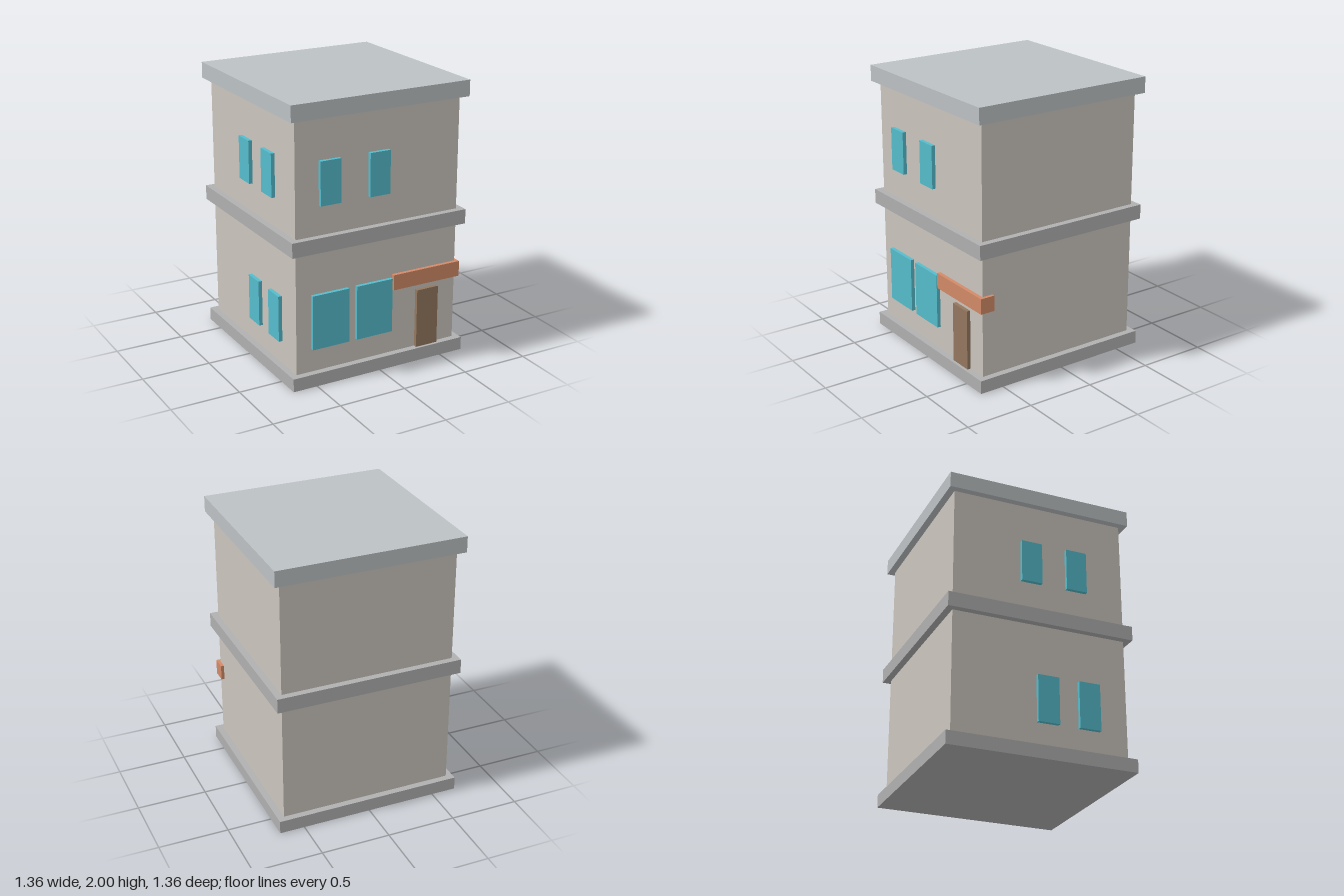
import * as THREE from 'three';

const mat = (color) => new THREE.MeshStandardMaterial({ color, flatShading: true });

export function createModel() {
  const group = new THREE.Group();
  const wall = mat(0xcbc6be), slab = mat(0xb0b0b0), roof = mat(0xbcc1c4);
  const glass = mat(0x56bccc), wood = mat(0x94775f), awning = mat(0xd28a68);

  // Box given by its extents along each axis
  const box = (name, material, [x0, x1], [y0, y1], [z0, z1]) => {
    const mesh = new THREE.Mesh(new THREE.BoxGeometry(x1 - x0, y1 - y0, z1 - z0), material);
    mesh.position.set((x0 + x1) / 2, (y0 + y1) / 2, (z0 + z1) / 2);
    mesh.name = name;
    group.add(mesh);
  };

  // Storeys and the wider slabs between them
  const w = [-0.633, 0.633], s = [-0.681, 0.681];
  box('baseSlab', slab, s, [0, 0.095], s);
  box('lowerStorey', wall, w, [0.095, 0.97], w);
  box('middleSlab', slab, s, [0.97, 1.075], s);
  box('upperStorey', wall, w, [1.075, 1.885], w);
  box('roofSlab', roof, s, [1.885, 2], s);

  // Front panels stand slightly proud of the wall
  const proud = [0.62, 0.66];
  for (const x of [[-0.52, -0.237], [-0.177, 0.106]]) box('shopWindow', glass, x, [0.265, 0.66], proud);
  for (const x of [[-0.457, -0.301], [-0.081, 0.075]]) box('upperFrontWindow', glass, x, [1.285, 1.593], proud);
  box('door', wood, [0.31, 0.483], [0.095, 0.53], proud);
  box('awning', awning, [0.115, 0.656], [0.572, 0.684], [0.554, 0.661]);

  // Windows on the right-hand side wall
  const side = [-0.66, -0.62];
  for (const z of [[-0.03, 0.125], [0.272, 0.427]]) box('lowerSideWindow', glass, side, [0.265, 0.6], z);
  for (const z of [[-0.14, 0.012], [0.197, 0.35]]) box('upperSideWindow', glass, side, [1.285, 1.593], z);

  return group;
}
